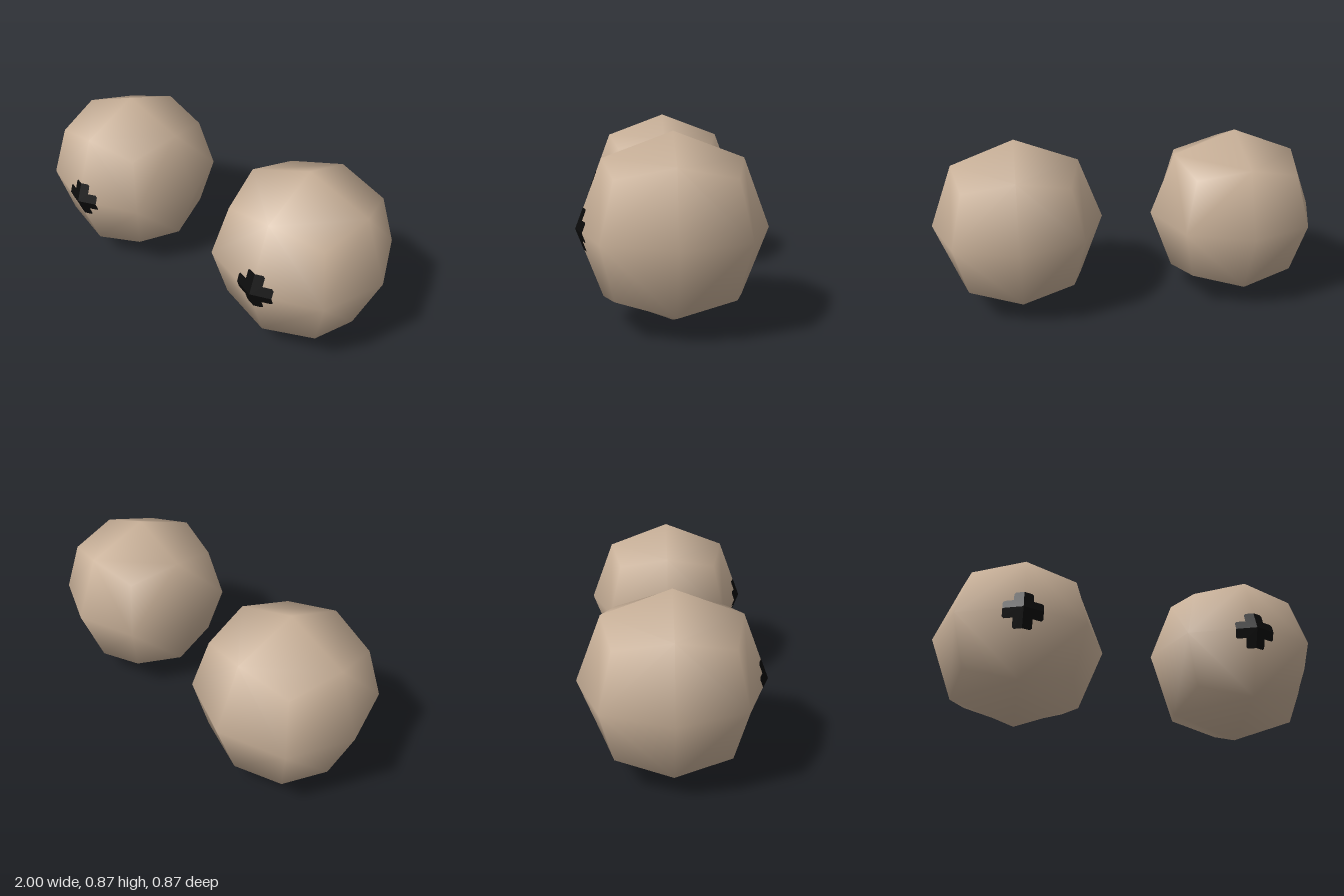
import * as THREE from 'three';
import { mergeVertices, mergeGeometries } from 'three/addons/utils/BufferGeometryUtils.js';

const POLE = 0.435;    // middle of each cube side
const EDGE = 0.316;    // middle of each cube edge
const CORNER = 0.259;  // cube corners
const SPACING = 0.565;

// Rounded cube: four quads around each of the six poles, with smooth normals
function eyeballGeometry() {
  const positions = [];
  for (let axis = 0; axis < 3; axis++) {
    for (const sign of [1, -1]) {
      const pole = new THREE.Vector3().setComponent(axis, sign);
      let u = new THREE.Vector3().setComponent((axis + 1) % 3, 1);
      for (let k = 0; k < 4; k++) {
        const v = pole.clone().cross(u);
        const centre = pole.clone().multiplyScalar(POLE);
        const e1 = pole.clone().add(u).multiplyScalar(EDGE);
        const e2 = pole.clone().add(v).multiplyScalar(EDGE);
        const corner = pole.clone().add(u).add(v).multiplyScalar(CORNER);
        for (const p of [centre, e1, e2, e1, corner, e2]) positions.push(p.x, p.y, p.z);
        u = v;
      }
    }
  }
  let geometry = new THREE.BufferGeometry();
  geometry.setAttribute('position', new THREE.Float32BufferAttribute(positions, 3));
  geometry = mergeVertices(geometry, 1e-4);
  geometry.computeVertexNormals();
  return geometry;
}

// Cross-shaped pupil: an L per quadrant, laid on the slopes around the front pole
function pupilGeometry() {
  const arm = 0.096, half = 0.046, cut = 0.009;
  const outline = [
    [0, 0], [arm, 0], [arm, half - cut], [arm - cut, half], [half, half],
    [half, arm - cut], [half - cut, arm], [0, arm],
  ].map(([x, y]) => new THREE.Vector2(x, y));
  const slope = (POLE - EDGE) / EDGE;
  const quadrants = [];
  for (let k = 0; k < 4; k++) {
    const g = new THREE.ShapeGeometry(new THREE.Shape(outline));
    const p = g.attributes.position;
    for (let i = 0; i < p.count; i++) p.setZ(i, POLE + 0.002 - slope * (p.getX(i) + p.getY(i)));
    g.computeVertexNormals();
    quadrants.push(g.rotateZ(k * Math.PI / 2));
  }
  return mergeGeometries(quadrants);
}

export function createModel() {
  const ivory = new THREE.MeshStandardMaterial({ color: 0xc8b098 });
  ivory.name = 'warm beige';
  const black = new THREE.MeshStandardMaterial({ color: 0x0a0a0a });
  black.name = 'pupil black';

  const model = new THREE.Group();
  model.name = 'eyes';
  const ball = eyeballGeometry();
  const cross = pupilGeometry();

  for (const [name, side] of [['leftEye', 1], ['rightEye', -1]]) {
    const eye = new THREE.Group();
    eye.name = name;
    const eyeball = new THREE.Mesh(ball, ivory);
    eyeball.name = 'eyeball';
    const pupil = new THREE.Mesh(cross, black);
    pupil.name = 'pupil';
    eye.add(eyeball, pupil);
    eye.position.set(side * SPACING, POLE, 0);
    model.add(eye);
  }
  return model;
}
